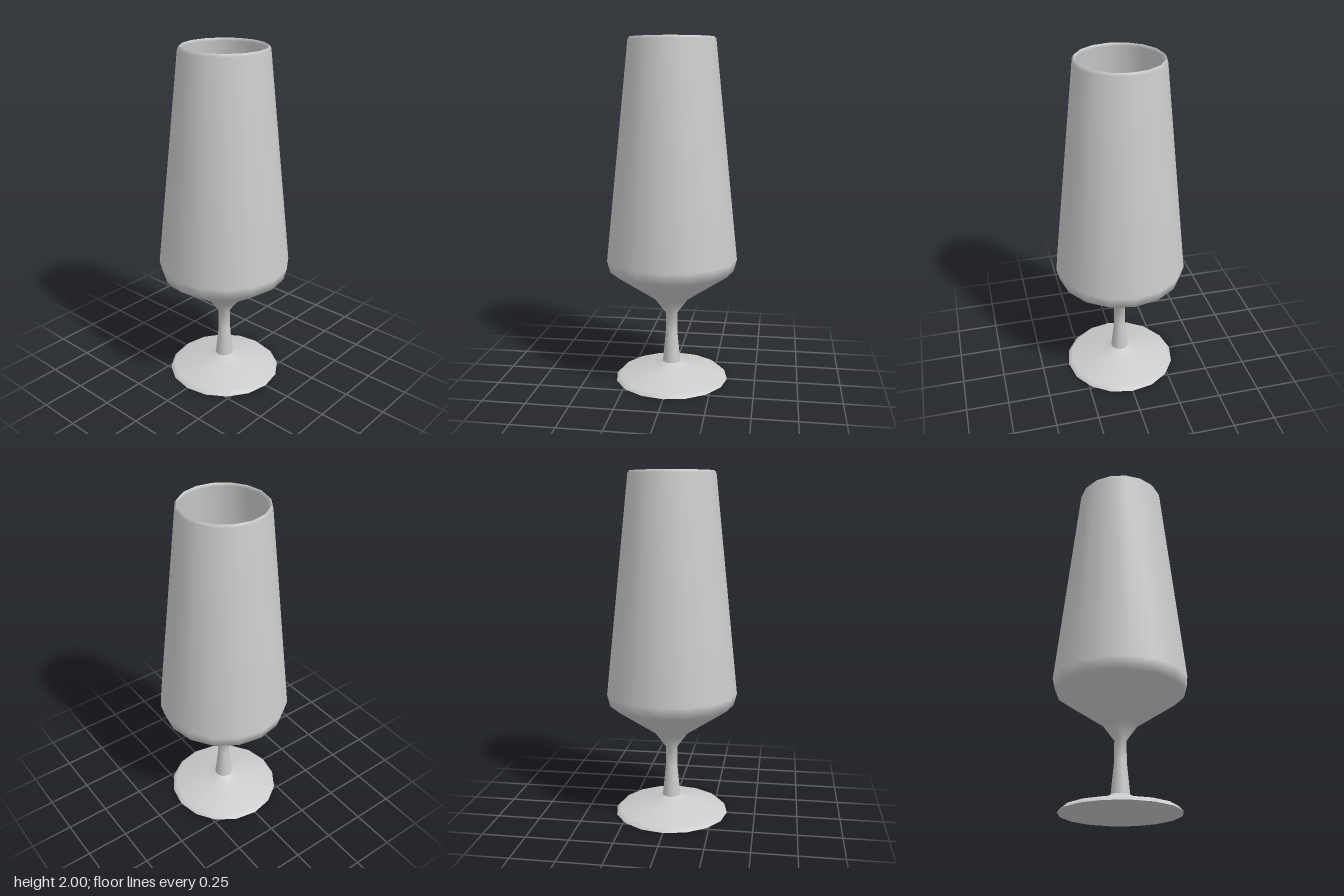
import * as THREE from 'three';
import { mergeVertices } from 'three/addons/utils/BufferGeometryUtils.js';

const SIDES = 16;

// Revolves [radius, y] points into a smooth 16-sided surface
function turned(name, points, material) {
  const lathe = new THREE.LatheGeometry(points.map(([r, y]) => new THREE.Vector2(r, y)), SIDES);
  lathe.deleteAttribute('normal');
  lathe.deleteAttribute('uv');
  const geometry = mergeVertices(lathe, 1e-5);
  geometry.computeVertexNormals();
  const mesh = new THREE.Mesh(geometry, material);
  mesh.name = name;
  return mesh;
}

export function createModel() {
  const glass = new THREE.MeshStandardMaterial({ color: 0xcccccc, side: THREE.DoubleSide });
  const group = new THREE.Group();
  group.name = 'stemmedGlass';

  group.add(
    // Flat underside, kept apart for a sharp edge
    turned('footUnderside', [[0, 0], [0.335, 0]], glass),
    // Shallow sloping foot
    turned('foot', [[0.335, 0], [0.31, 0.025], [0.12, 0.065], [0.052, 0.1]], glass),
    // Stem flaring into the tapered bowl, up to the rim
    turned('stemAndBowl', [
      [0.053, 0.1], [0.035, 0.28], [0.034, 0.4], [0.1, 0.49],
      [0.365, 0.67], [0.383, 0.74], [0.25, 1.985], [0.24, 2],
    ], glass),
    // Inner bevel of the rim and inside wall
    turned('bowlInside', [[0.24, 2], [0.227, 1.985], [0.36, 0.74], [0.35, 0.7]], glass),
    // Flat floor of the bowl
    turned('bowlFloor', [[0.35, 0.7], [0, 0.7]], glass),
  );
  return group;
}
